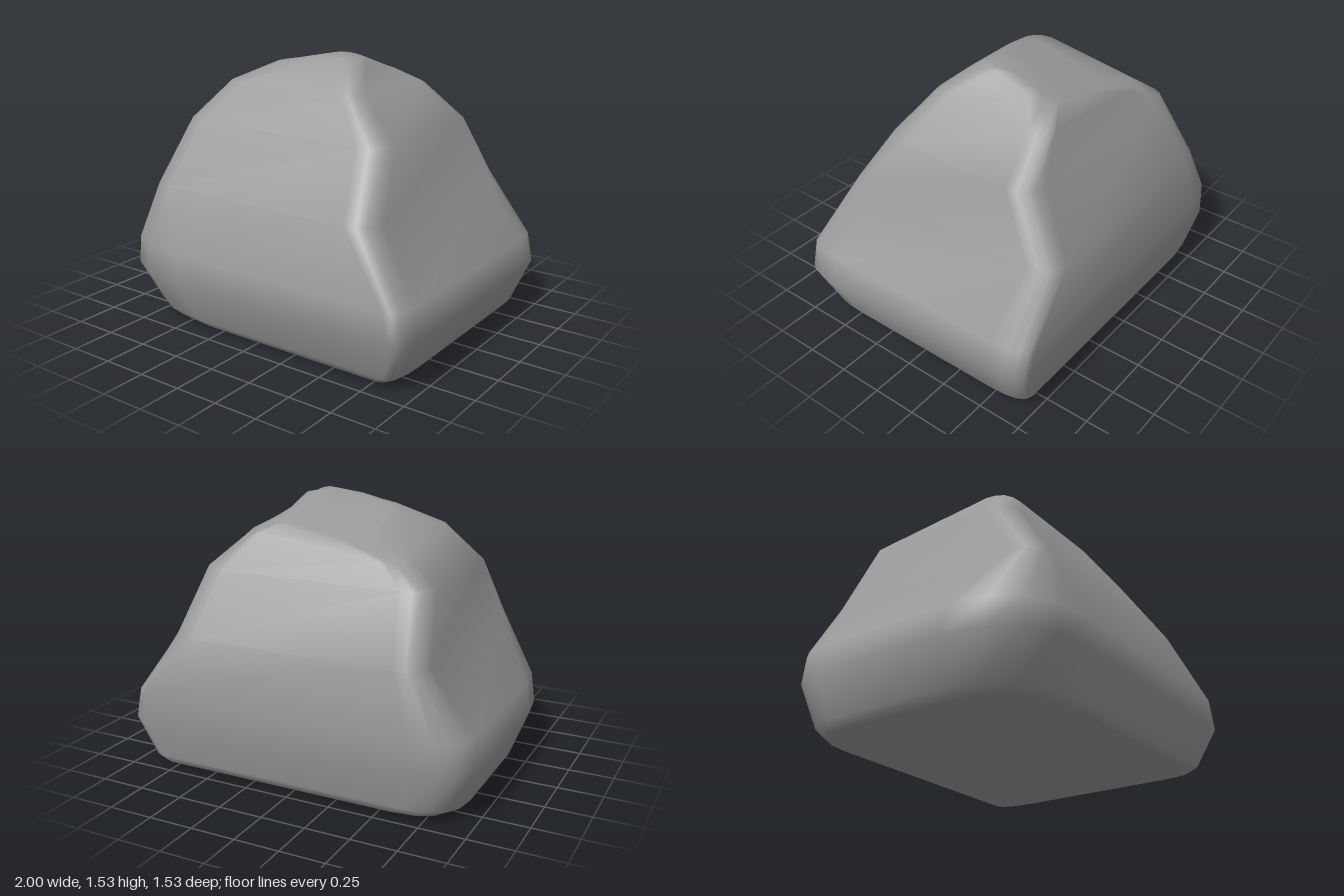
import * as THREE from 'three';

// Horizontal sections: height, left x, right x, back z, front z, corner blend (0 = base corners, 1 = upper corners)
const SECTIONS = [
  [0.0, -0.79, 0.79, -0.52, 0.52, 0],
  [0.02, -0.86, 0.86, -0.69, 0.65, 0],
  [0.06, -0.92, 0.91, -0.71, 0.68, 0],
  [0.29, -1.0, 1.0, -0.76, 0.77, 0],
  [0.45, -0.97, 0.965, -0.765, 0.765, 0.1],
  [0.79, -0.74, 0.72, -0.735, 0.65, 1],
  [1.13, -0.68, 0.64, -0.535, 0.425, 1],
  [1.34, -0.5, 0.4, -0.46, 0.29, 0.9],
  [1.45, -0.28, 0.3, -0.4, 0.165, 0.8],
  [1.5, -0.26, 0.25, -0.38, 0.1, 0.7],
  [1.54, -0.24, 0.19, -0.35, 0.045, 0.6],
];

// Corners, counter-clockwise seen from above: x side, z side, base cut in x, base cut in z
const CORNERS = [
  [1, 1, 0.08, 0.22],
  [1, -1, 0.08, 0.22],
  [-1, -1, 0.28, 0.24],
  [-1, 1, 0.54, 0.5],
];
const STEPS = 4;

// The crown falls away to the left and the back, and bends down on the right
const crown = (x, z) =>
  1.54 + 0.2 * (x - 0.18) + 0.35 * Math.min(0, z - 0.045) - 0.5 * Math.max(0, x - 0.2);

function section([y, xl, xr, zb, zf, k]) {
  const points = [];
  const upper = y > 1.3 ? 0.09 : 0.14;
  for (const [sx, sz, cutX, cutZ] of CORNERS) {
    const cx = sx > 0 ? xr : xl;
    const cz = sz > 0 ? zf : zb;
    const rx = THREE.MathUtils.lerp(cutX, upper, k) * sx;
    const rz = THREE.MathUtils.lerp(cutZ, upper, k) * sz;
    const onFront = new THREE.Vector2(cx - rx, cz);
    const onSide = new THREE.Vector2(cx, cz - rz);
    const ends = sx * sz > 0 ? [onFront, onSide] : [onSide, onFront];
    const arc = new THREE.QuadraticBezierCurve(ends[0], new THREE.Vector2(cx, cz), ends[1]);
    for (const p of arc.getPoints(STEPS)) points.push([p.x, Math.min(y, crown(p.x, p.y)), p.y]);
  }
  return points;
}

// Skin the sections into one closed, smooth boulder
function loft(rings) {
  const n = rings[0].length;
  const positions = rings.flat(2);
  const index = [];
  for (let r = 0; r < rings.length - 1; r++) {
    for (let i = 0; i < n; i++) {
      const j = (i + 1) % n;
      const a = r * n + i, b = r * n + j, c = a + n, d = b + n;
      index.push(a, b, d, a, d, c);
    }
  }
  const cap = (ring, start, up) => {
    const centre = [0, 1, 2].map((k) => ring.reduce((s, p) => s + p[k], 0) / n);
    const m = positions.length / 3;
    positions.push(...centre);
    for (let i = 0; i < n; i++) {
      const a = start + i, b = start + ((i + 1) % n);
      if (up) index.push(m, a, b);
      else index.push(m, b, a);
    }
  };
  cap(rings[0], 0, false);
  cap(rings[rings.length - 1], (rings.length - 1) * n, true);
  const geometry = new THREE.BufferGeometry();
  geometry.setAttribute('position', new THREE.Float32BufferAttribute(positions, 3));
  geometry.setIndex(index);
  geometry.computeVertexNormals();
  return geometry;
}

export function createModel() {
  const group = new THREE.Group();
  group.name = 'rock';
  const boulder = new THREE.Mesh(
    loft(SECTIONS.map(section)),
    new THREE.MeshStandardMaterial({ color: 0x999999 })
  );
  boulder.name = 'boulder';
  group.add(boulder);
  return group;
}
